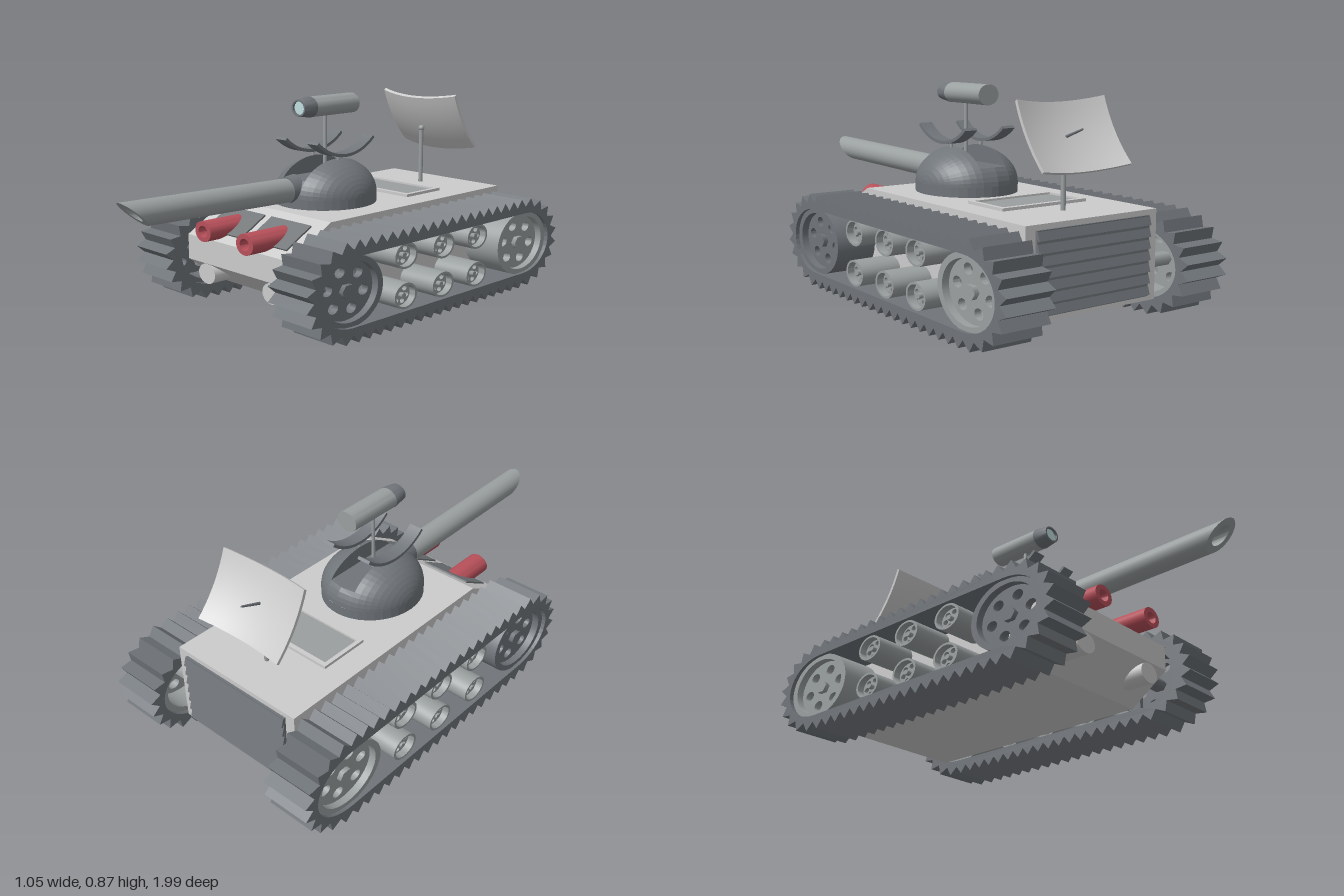
import * as THREE from 'three';
import { toCreasedNormals } from 'three/addons/utils/BufferGeometryUtils.js';

const mat = (color, opts = {}) => new THREE.MeshStandardMaterial({ color, ...opts });
const GREY = mat(0xcccccc), DARK = mat(0x70757a), MID = mat(0x9a9fa0);
const PANEL = mat(0x74787a), RED = mat(0xb8505a), LENS = mat(0xc0dde0);
const FLAT_DARK = mat(0x70757a, { flatShading: true, side: THREE.DoubleSide });
const SQUASH = 0.8; // round parts are a little flattened in height

export function createModel() {
  const model = new THREE.Group();

  const add = (name, geo, material, x = 0, y = 0, z = 0, parent = model) => {
    const m = new THREE.Mesh(geo, material);
    m.name = name;
    m.position.set(x, y, z);
    parent.add(m);
    return m;
  };
  const box = (name, w, h, d, material, x, y, z) =>
    add(name, new THREE.BoxGeometry(w, h, d), material, x, y, z);
  const smooth = (g) => toCreasedNormals(g, 0.6);

  // Extrudes a (z, y) outline sideways from x0 to x1
  const sideExtrude = (shape, x0, x1, curveSegments = 12) =>
    new THREE.ExtrudeGeometry(shape, { depth: x1 - x0, bevelEnabled: false, curveSegments })
      .rotateY(-Math.PI / 2).translate(x1, 0, 0);
  const poly = (pts) => new THREE.Shape(pts.map((p) => new THREE.Vector2(...p)));
  // Lathe of (radius, z) points lying along z
  const zLathe = (pts, seg = 28) =>
    new THREE.LatheGeometry(pts.map((p) => new THREE.Vector2(...p)), seg).rotateX(Math.PI / 2);

  // ---- Hull ----
  add('hull', sideExtrude(poly([
    [0.28, 0.07], [0.455, 0.195], [0.455, 0.3], [0.245, 0.42], [-0.825, 0.42], [-0.825, 0.07],
  ]), -0.315, 0.315), GREY);

  // Sloped front panels
  const slope = Math.atan2(0.12, 0.21);
  for (const s of [-1, 1]) {
    const p = box('frontPanel', 0.23, 0.012, 0.15, PANEL, s * 0.135, 0.361, 0.35);
    p.rotation.x = slope;
    const lamp = add('lowerLamp', new THREE.CylinderGeometry(0.053, 0.053, 0.16, 28).rotateX(Math.PI / 2),
      GREY, s * 0.2, 0.15, 0.372);
    lamp.scale.y = SQUASH;
    box('sideBracket', 0.02, 0.08, 0.04, DARK, s * 0.325, 0.093, 0.3);
  }

  // Red front tubes with a recessed bore
  for (const [x, tip] of [[-0.152, 0.505], [0.13, 0.525]]) {
    const g = zLathe([[0, -0.26], [0.05, -0.26], [0.05, 0], [0.028, 0], [0.024, -0.04], [0, -0.04]]);
    add('frontTube', smooth(g), RED, x, 0.346, tip).scale.y = 0.85;
  }

  // Roof hatch: frame and inset plate
  const frame = poly([[-0.205, -0.11], [0.205, -0.11], [0.205, 0.11], [-0.205, 0.11]]);
  frame.holes.push(new THREE.Path([[-0.187, -0.09], [-0.187, 0.09], [0.187, 0.09], [0.187, -0.09]]
    .map((p) => new THREE.Vector2(...p))));
  add('hatchFrame', new THREE.ExtrudeGeometry(frame, { depth: 0.012, bevelEnabled: false })
    .rotateX(-Math.PI / 2), GREY, -0.003, 0.42, -0.44);
  box('hatchPlate', 0.375, 0.006, 0.18, MID, -0.003, 0.421, -0.44);

  // Rear grille
  box('grillePlate', 0.54, 0.31, 0.012, DARK, 0, 0.245, -0.829);
  for (let i = 0; i < 7; i++) {
    const slat = box('grilleSlat', 0.54, 0.034, 0.008, DARK, 0, 0.112 + i * 0.0445, -0.838);
    slat.rotation.x = 0.3;
  }

  // ---- Turret dome, cut by a lengthwise slot ----
  const R = 0.21, slot = 0.065, floorY = 0.115, segs = 24;
  const slices = [];
  for (let i = 0; i <= 10; i++) {
    const x = -Math.cos((i / 10) * 1.255) * R; // cosine spacing to the slot wall
    slices.push([i === 10 ? -slot : x, false]);
  }
  const mirrored = slices.map(([x]) => [-x, false]).reverse();
  const all = [...slices, [-slot, true], [0, true], [slot, true], ...mirrored];
  const pos = [], idx = [];
  for (const [x, cut] of all) {
    const w = Math.sqrt(Math.max(0, 1 - (x / R) ** 2));
    for (let j = 0; j <= segs; j++) {
      const a = (j / segs) * Math.PI;
      const h = Math.sin(a) * w * 0.155;
      pos.push(x, 0.46 + (cut ? Math.min(h, floorY - 0.04) : h), Math.cos(a) * w * 0.222 - 0.038);
    }
  }
  for (let i = 0; i < all.length - 1; i++) {
    for (let j = 0; j < segs; j++) {
      const a = i * (segs + 1) + j, b = a + segs + 1;
      idx.push(a, b, a + 1, b, b + 1, a + 1);
    }
  }
  const dome = new THREE.BufferGeometry();
  dome.setAttribute('position', new THREE.Float32BufferAttribute(pos, 3));
  dome.setIndex(idx);
  dome.computeVertexNormals();
  add('turretDome', dome, FLAT_DARK);
  add('turretBase', new THREE.CylinderGeometry(R, R, 0.045, 40, 1, true), FLAT_DARK, 0, 0.439, -0.038)
    .scale.z = 0.222 / R;

  // Upturned curved guards on the dome
  const arc = (r, from, to, cw) => ({ r, from, to, cw });
  const outer = arc(0.247, -Math.PI / 2 - 0.745, -Math.PI / 2 + 0.745, false);
  const guard = new THREE.Shape();
  guard.absarc(0, 0, outer.r, outer.from, outer.to, outer.cw);
  guard.absarc(0, 0, 0.234, outer.to, outer.from, true);
  for (const s of [-1, 1]) {
    add('curvedGuard', smooth(sideExtrude(guard, -0.03, 0.03, 20)), DARK, s * 0.095, 0.868, -0.035);
    add('guardMount', new THREE.CylinderGeometry(0.007, 0.007, 0.06, 10), MID, s * 0.075, 0.6, -0.035);
  }

  // ---- Main gun with slanted, hollow muzzle ----
  const gunGeo = zLathe([[0, 0], [0.052, 0], [0.052, 0.81], [0.031, 0.81], [0.029, 0.7], [0, 0.7]], 32);
  const gp = gunGeo.attributes.position;
  for (let i = 0; i < gp.count; i++) {
    if (gp.getZ(i) > 0.5) gp.setZ(i, gp.getZ(i) + gp.getY(i) * 1.15);
  }
  gunGeo.computeVertexNormals();
  const gun = add('gunBarrel', smooth(gunGeo), MID, 0.005, 0.493, 0.13);
  gun.rotation.x = -0.02;
  gun.scale.y = 0.96;
  add('gunCollar', new THREE.CylinderGeometry(0.054, 0.06, 0.05, 28).rotateX(Math.PI / 2),
    DARK, 0.005, 0.496, 0.17);

  // ---- Periscope ----
  add('scopePost', new THREE.CylinderGeometry(0.008, 0.008, 0.27, 12), MID, 0, 0.665, -0.033);
  add('scopeBody', smooth(zLathe([[0, -0.19], [0.05, -0.19], [0.05, 0.055]])), MID, 0, 0.825, 0)
    .scale.y = 0.85;
  add('scopeHood', smooth(zLathe([[0.05, 0.055], [0.051, 0.06], [0.041, 0.12], [0.033, 0.12], [0.033, 0.105]])),
    DARK, 0, 0.825, 0).scale.y = 0.85;
  add('scopeLens', new THREE.CircleGeometry(0.034, 28), LENS, 0, 0.825, 0.11).scale.y = 0.85;

  // ---- Rear dish ----
  const dishGroup = new THREE.Group();
  dishGroup.name = 'dish';
  dishGroup.position.set(0, 0.686, -0.668);
  dishGroup.rotation.x = -2.577;
  model.add(dishGroup);
  const dish = new THREE.BoxGeometry(0.42, 0.29, 0.014, 14, 10, 1);
  const dp = dish.attributes.position;
  for (let i = 0; i < dp.count; i++) {
    dp.setZ(i, dp.getZ(i) + (dp.getX(i) ** 2 + dp.getY(i) ** 2) / 1.25);
  }
  dish.computeVertexNormals();
  add('dishReflector', dish, GREY, 0, 0, 0, dishGroup);
  add('dishFeed', new THREE.CylinderGeometry(0.004, 0.006, 0.1, 10).rotateX(Math.PI / 2 - 0.2),
    DARK, 0, 0, 0.05, dishGroup);
  add('dishPost', new THREE.CylinderGeometry(0.01, 0.01, 0.25, 12), MID, 0, 0.545, -0.655);
  add('dishJoint', new THREE.SphereGeometry(0.014, 12, 8), MID, 0, 0.67, -0.655);

  // ---- Tracks and wheels ----
  // Pulley-shaped loop point: t runs 0..1 around both ends and both straights
  const zF = 0.33, zR = -0.75, STEPS = 56;
  const loop = (k, rz, ry) => { // 18 pitches per straight, 10 per end
    k = ((k % STEPS) + STEPS) % STEPS;
    const end = (c, a) => [c + Math.cos(a) * rz, 0.2 + Math.sin(a) * ry];
    if (k < 10) return end(zF, -Math.PI / 2 + (k / 10) * Math.PI);
    if (k < 28) return [zF + (zR - zF) * (k - 10) / 18, 0.2 + ry];
    if (k < 38) return end(zR, Math.PI / 2 + ((k - 28) / 10) * Math.PI);
    return [zR + (zF - zR) * (k - 38) / 18, 0.2 - ry];
  };
  const teeth = [], inner = [];
  for (let k = 0; k < STEPS; k++) {
    teeth.push(loop(k, 0.205, 0.165), loop(k + 0.5, 0.245, 0.2));
    inner.push(loop(k, 0.18, 0.136), loop(k + 0.5, 0.18, 0.136));
  }
  const trackShape = poly(teeth);
  trackShape.holes.push(new THREE.Path(inner.reverse().map((p) => new THREE.Vector2(...p))));

  const ring = (r, hole) => {
    const s = new THREE.Shape().absarc(0, 0, r, 0, Math.PI * 2);
    s.holes.push(new THREE.Path().absarc(0, 0, hole, 0, Math.PI * 2, true));
    return s;
  };
  // Wheel: rim, perforated disc and hub
  const wheel = (name, r, holes, holeAt, holeR, y, z, side, material) => {
    const g = new THREE.Group();
    g.name = name;
    g.position.set(0, y, z);
    g.scale.set(side, SQUASH, 1);
    model.add(g);
    const disc = new THREE.Shape().absarc(0, 0, r * 0.9, 0, Math.PI * 2);
    for (let i = 0; i < holes; i++) {
      const a = (i / holes) * Math.PI * 2 + 0.2;
      disc.holes.push(new THREE.Path().absarc(Math.cos(a) * holeAt, Math.sin(a) * holeAt, holeR, 0, Math.PI * 2, true));
    }
    add('rim', smooth(sideExtrude(ring(r, r * 0.84), 0.335, 0.51, 20)), material, 0, 0, 0, g);
    add('disc', smooth(sideExtrude(disc, 0.45, 0.48, 18)), material, 0, 0, 0, g);
    add('hub', new THREE.CylinderGeometry(r * 0.2, r * 0.2, 0.2, 6).rotateZ(Math.PI / 2), material, 0.4, 0, 0, g);
  };

  for (const side of [1, -1]) {
    const track = add(side > 0 ? 'leftTrack' : 'rightTrack', sideExtrude(trackShape, 0.315, 0.525), DARK);
    track.scale.x = side;
    wheel('frontWheel', 0.175, 6, 0.098, 0.026, 0.2, zF, side, DARK);
    wheel('rearWheel', 0.175, 6, 0.098, 0.026, 0.2, zR, side, MID);
    for (const z of [0.02, -0.21, -0.43]) {
      for (const y of [0.283, 0.119]) wheel('roadWheel', 0.066, 6, 0.036, 0.013, y, z, side, MID);
    }
  }
  return model;
}
